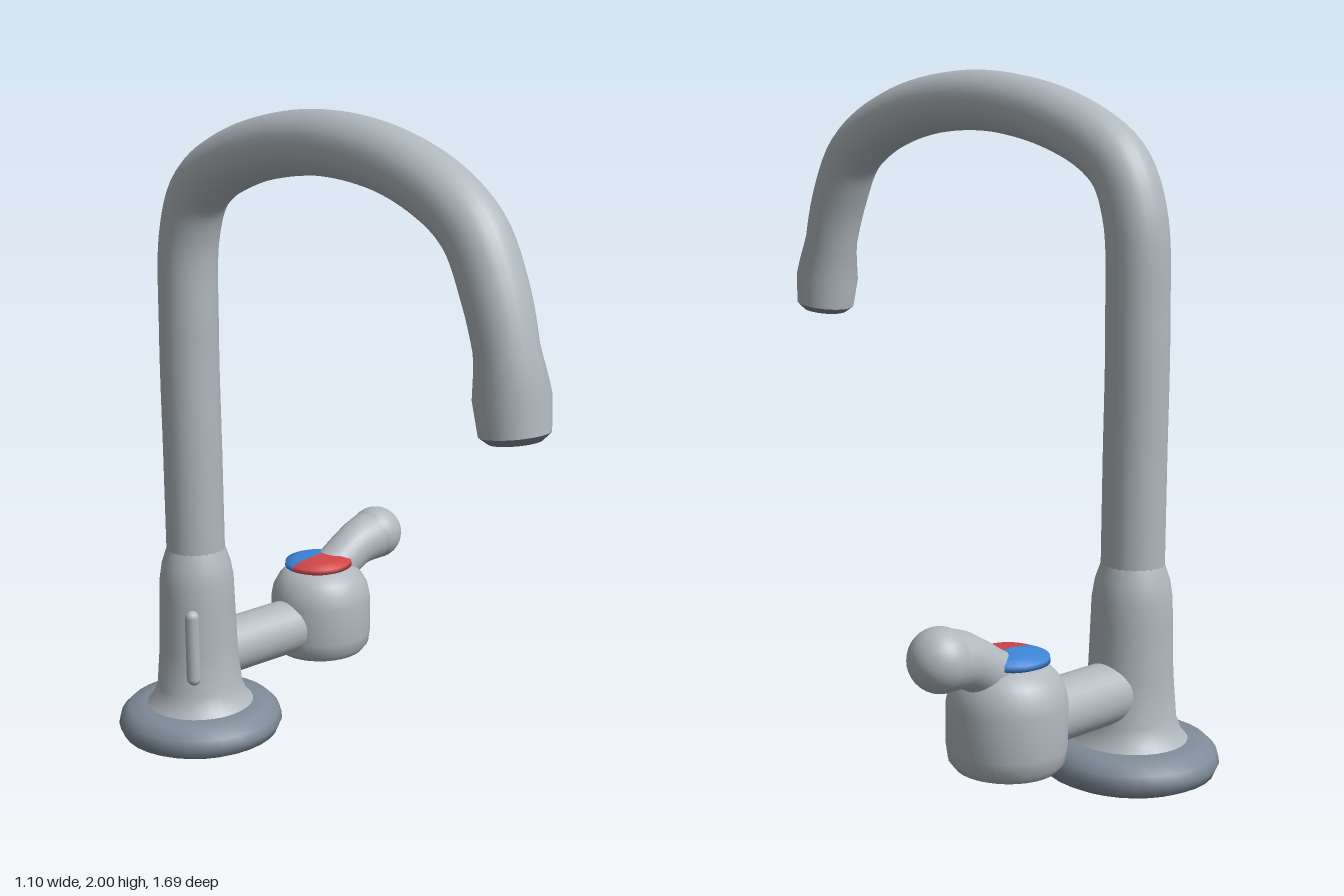
import * as THREE from 'three';
import { toCreasedNormals } from 'three/addons/utils/BufferGeometryUtils.js';

const CX = -0.293, CZ = -0.59; // axis of the column
const V = (x, y, z) => new THREE.Vector3(x, y, z);

function lathe(profile, segments = 32) {
  const points = profile.map(([r, y]) => new THREE.Vector2(r, y));
  return toCreasedNormals(new THREE.LatheGeometry(points, segments), 0.75);
}

// Piecewise linear lookup in [position, value] pairs
function lookup(table, t) {
  for (let i = 1; i < table.length; i++) {
    const [t0, v0] = table[i - 1], [t1, v1] = table[i];
    if (t <= t1) return THREE.MathUtils.mapLinear(t, t0, t1, v0, v1);
  }
  return table[table.length - 1][1];
}

// Tube whose radius changes along the path
function taperedTube(points, radii, steps, sides = 24) {
  const curve = new THREE.CatmullRomCurve3(points);
  const geometry = new THREE.TubeGeometry(curve, steps, 1, sides);
  const pos = geometry.attributes.position, p = new THREE.Vector3();
  for (let i = 0; i <= steps; i++) {
    const centre = curve.getPointAt(i / steps), r = lookup(radii, i / steps);
    for (let j = 0; j <= sides; j++) {
      const k = i * (sides + 1) + j;
      p.fromBufferAttribute(pos, k).sub(centre).multiplyScalar(r).add(centre);
      pos.setXYZ(k, p.x, p.y, p.z);
    }
  }
  return geometry;
}

export function createModel() {
  const group = new THREE.Group();
  group.name = 'faucet';
  const material = (name, color) => {
    const m = new THREE.MeshStandardMaterial({ color });
    m.name = name;
    return m;
  };
  const steel = material('light steel', 0xb0b8be);
  const slate = material('slate grey', 0x7f8b99);
  const red = material('hot red', 0xd04646);
  const blue = material('cold blue', 0x3d85d8);
  const add = (name, geometry, mat, x = 0, y = 0, z = 0) => {
    const mesh = new THREE.Mesh(geometry, mat);
    mesh.name = name;
    mesh.position.set(x, y, z);
    group.add(mesh);
    return mesh;
  };

  // Round foot
  add('baseFlange', lathe([[0, 0], [0.215, 0], [0.245, 0.015], [0.258, 0.045], [0.25, 0.075],
    [0.225, 0.1], [0.18, 0.108], [0, 0.112]]), slate, CX, 0, CZ);

  // Flared lower column
  add('columnBody', lathe([[0.175, 0.1], [0.15, 0.125], [0.133, 0.17], [0.122, 0.3], [0.117, 0.45],
    [0.115, 0.52], [0.107, 0.57], [0.09, 0.62]]), steel, CX, 0, CZ);

  // Swan neck with a swelling at the outlet
  const path = [[0.5, -0.59], [0.9, -0.59], [1.3, -0.59], [1.6, -0.572], [1.74, -0.505], [1.852, -0.3],
    [1.912, 0.05], [1.865, 0.38], [1.75, 0.59], [1.6, 0.675], [1.42, 0.727], [1.25, 0.752]];
  add('spout', taperedTube(path.map(([y, z]) => V(CX, y, z)),
    [[0, 0.091], [0.88, 0.088], [0.93, 0.084], [0.968, 0.101], [1, 0.093]], 96), steel);

  // Dark nozzle face
  const nozzle = add('nozzle', lathe([[0, -0.022], [0.07, -0.02], [0.093, 0], [0, 0.001]], 20),
    slate, CX, 1.25, 0.752);
  nozzle.rotation.x = -0.14;

  // Slim rounded strip on the column
  add('sideStrip', new THREE.CapsuleGeometry(0.022, 0.2, 6, 12), steel, CX - 0.088, 0.33, CZ + 0.088);

  // Arm to the valve
  const arm = add('valveArm', new THREE.CylinderGeometry(0.088, 0.088, 0.45, 28, 1, true),
    steel, -0.06, 0.258, CZ);
  arm.rotation.z = Math.PI / 2;

  // Valve housing
  add('valveHousing', lathe([[0, 0.14], [0.1, 0.14], [0.14, 0.148], [0.158, 0.17], [0.164, 0.21],
    [0.164, 0.33], [0.156, 0.37], [0.138, 0.402], [0.113, 0.428], [0, 0.44]]), steel, 0.217, 0, CZ - 0.003);

  // Lever with a ball end
  add('lever', taperedTube([V(0.19, 0.36, CZ), V(0.29, 0.425, CZ), V(0.38, 0.475, CZ), V(0.465, 0.494, CZ)],
    [[0, 0.075], [0.4, 0.07], [0.65, 0.072], [1, 0.087]], 20), steel);
  add('leverTip', new THREE.SphereGeometry(0.087, 28, 18), steel, 0.463, 0.494, CZ);

  // Temperature marker: hot half to the front, cold half to the back
  for (const [name, mat, start] of [['coldMarker', blue, Math.PI / 2], ['hotMarker', red, -Math.PI / 2]]) {
    const points = [[0, 0.428], [0.085, 0.43], [0.11, 0.44], [0.108, 0.455], [0.075, 0.467], [0, 0.474]];
    add(name, new THREE.LatheGeometry(points.map(([r, y]) => new THREE.Vector2(r, y)), 18, start, Math.PI),
      mat, 0.208, 0, CZ - 0.002);
  }
  return group;
}
